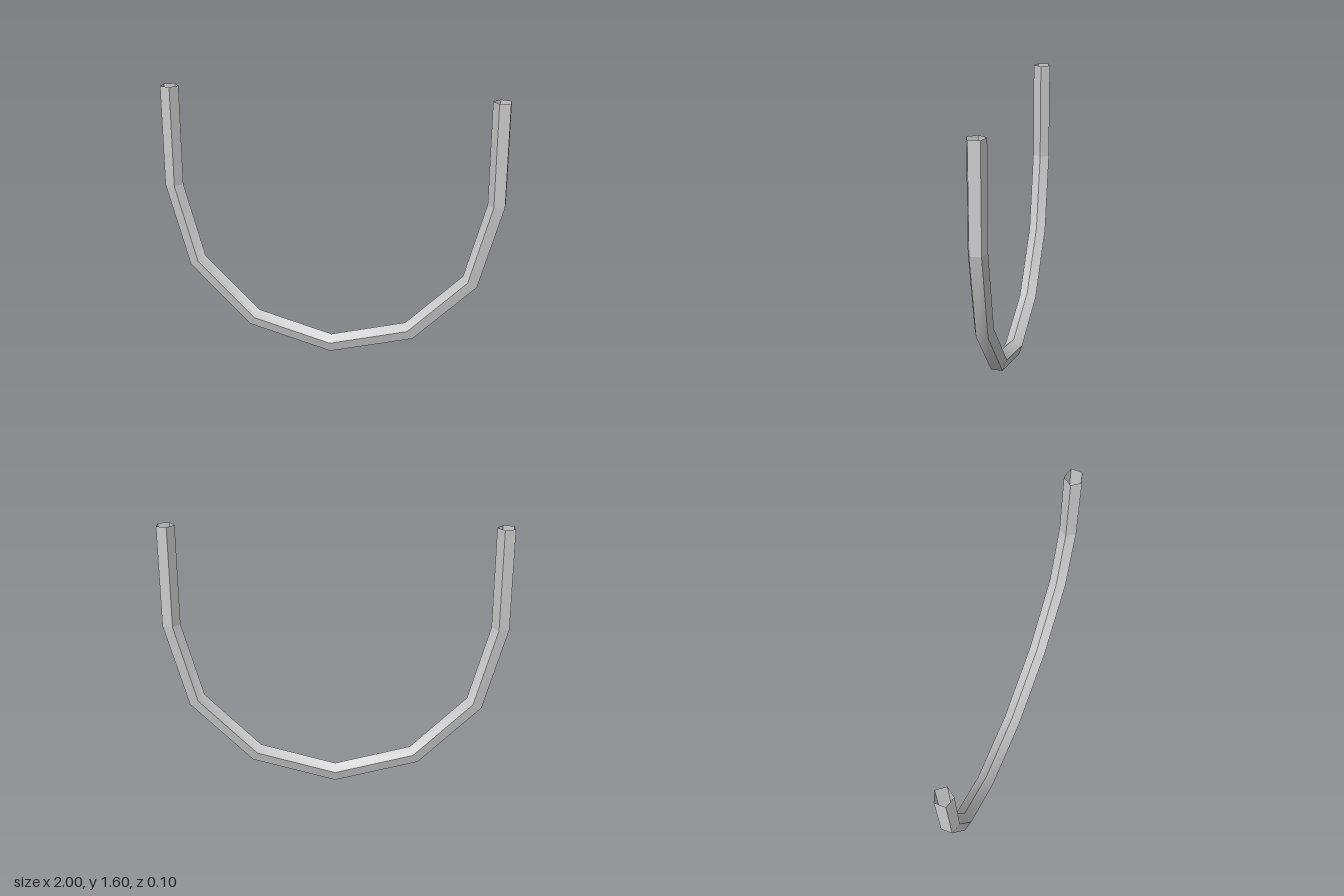
import * as THREE from 'three';
import { toCreasedNormals } from 'three/addons/utils/BufferGeometryUtils.js';

const TUBE = 0.055;                                  // radius of the five-sided tube
const BEND = 1 - TUBE * Math.cos(Math.PI / 5);       // centre-line radius; outer flat lies at 1
const ARM = 0.597;                                   // length of the straight ends

export function createModel() {
  const group = new THREE.Group();
  const arcMaterial = new THREE.MeshStandardMaterial({ color: 0xcccccc, side: THREE.DoubleSide });
  const armMaterial = new THREE.MeshStandardMaterial({ color: 0xcccccc, side: THREE.DoubleSide, flatShading: true });

  // Half-round bend: pentagon with its point facing inward, revolved in six steps
  const section = [];
  for (let i = 0; i <= 5; i++) {
    const a = Math.PI + (i * Math.PI * 2) / 5;
    section.push(new THREE.Vector2(BEND + TUBE * Math.cos(a), TUBE * Math.sin(a)));
  }
  const arc = new THREE.LatheGeometry(section, 6, Math.PI / 2, Math.PI).rotateX(-Math.PI / 2);
  const bend = new THREE.Mesh(toCreasedNormals(arc, THREE.MathUtils.degToRad(40)), arcMaterial);
  bend.name = 'bend';
  bend.position.y = 1;
  group.add(bend);

  // Straight open-ended arms rising from the bend
  for (const side of [1, -1]) {
    const geometry = new THREE.CylinderGeometry(TUBE, TUBE, ARM, 5, 1, true, -side * Math.PI / 2);
    const arm = new THREE.Mesh(geometry, armMaterial);
    arm.name = side > 0 ? 'leftArm' : 'rightArm';
    arm.position.set(side * BEND, 1 + ARM / 2, 0);
    group.add(arm);
  }
  return group;
}
